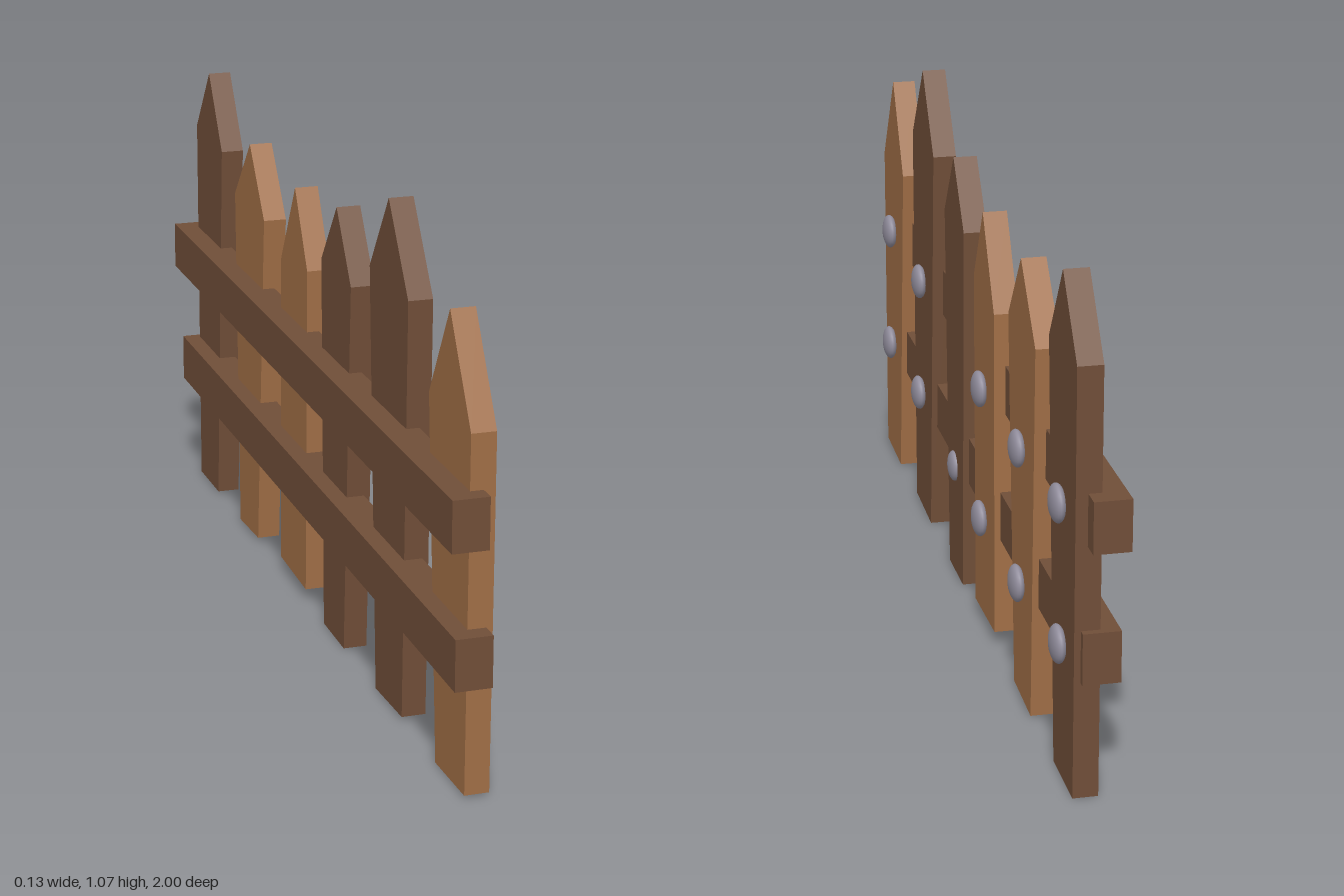
import * as THREE from 'three';

export function createModel() {
  const fence = new THREE.Group();
  fence.name = 'picketFence';

  const material = (name, color) => {
    const m = new THREE.MeshStandardMaterial({ color });
    m.name = name;
    return m;
  };
  const lightWood = material('lightWood', 0xa06e46);
  const darkWood = material('darkWood', 0x704e38);
  const metal = material('nailMetal', 0x918d9c);

  const add = (name, geometry, mat, x = 0, y = 0, z = 0) => {
    const mesh = new THREE.Mesh(geometry, mat);
    mesh.name = name;
    mesh.position.set(x, y, z);
    fence.add(mesh);
    return mesh;
  };

  // Pickets: uneven pointed boards, outline as [z, y] around the board;
  // nails as [z, y, radius]
  const pickets = [
    { wood: lightWood,
      outline: [[0.957, 0.006], [0.79, 0], [0.728, 0.75], [0.84, 0.948], [0.963, 0.743]],
      nails: [[0.852, 0.578, 0.039], [0.866, 0.291, 0.039]] },
    { wood: darkWood,
      outline: [[0.585, 0.008], [0.417, 0], [0.364, 0.9], [0.48, 1.068], [0.602, 0.893]],
      nails: [[0.492, 0.57, 0.039], [0.505, 0.294, 0.039]] },
    { wood: darkWood,
      outline: [[0.2, 0], [0.058, 0.001], [0.04, 0.825], [0.145, 0.963], [0.242, 0.818]],
      nails: [[0.145, 0.252, 0.034]] },
    { wood: lightWood,
      outline: [[-0.077, 0.028], [-0.267, 0.034], [-0.257, 0.743], [-0.15, 0.93], [-0.062, 0.767]],
      nails: [[-0.158, 0.546, 0.039], [-0.16, 0.253, 0.039]] },
    { wood: lightWood,
      outline: [[-0.455, 0.01], [-0.604, 0.002], [-0.627, 0.798], [-0.5, 0.943], [-0.39, 0.793]],
      nails: [[-0.512, 0.55, 0.039], [-0.514, 0.258, 0.039]] },
    { wood: darkWood,
      outline: [[-0.802, 0.002], [-0.958, 0], [-0.958, 0.882], [-0.843, 1.032], [-0.738, 0.868]],
      nails: [[-0.853, 0.572, 0.039], [-0.866, 0.286, 0.039]] },
  ];

  for (const { wood, outline, nails } of pickets) {
    const shape = new THREE.Shape(outline.map(([z, y]) => new THREE.Vector2(-z, y)));
    const board = new THREE.ExtrudeGeometry(shape, { depth: 0.051, bevelEnabled: false });
    board.rotateY(Math.PI / 2);
    add('picket', board, wood, -0.016);

    // Flattened round nail heads on the face of the board
    for (const [z, y, r] of nails) {
      const head = add('nailHead', new THREE.SphereGeometry(r, 20, 14), metal, r < 0.038 ? 0.036 : 0.045, y, z);
      head.scale.x = 0.42;
    }
  }

  // Rails behind the pickets
  add('upperRail', new THREE.BoxGeometry(0.075, 0.106, 2), darkWood, -0.0265, 0.577, 0);
  add('lowerRail', new THREE.BoxGeometry(0.076, 0.107, 1.973), darkWood, -0.016, 0.298, 0.0135);

  return fence;
}
